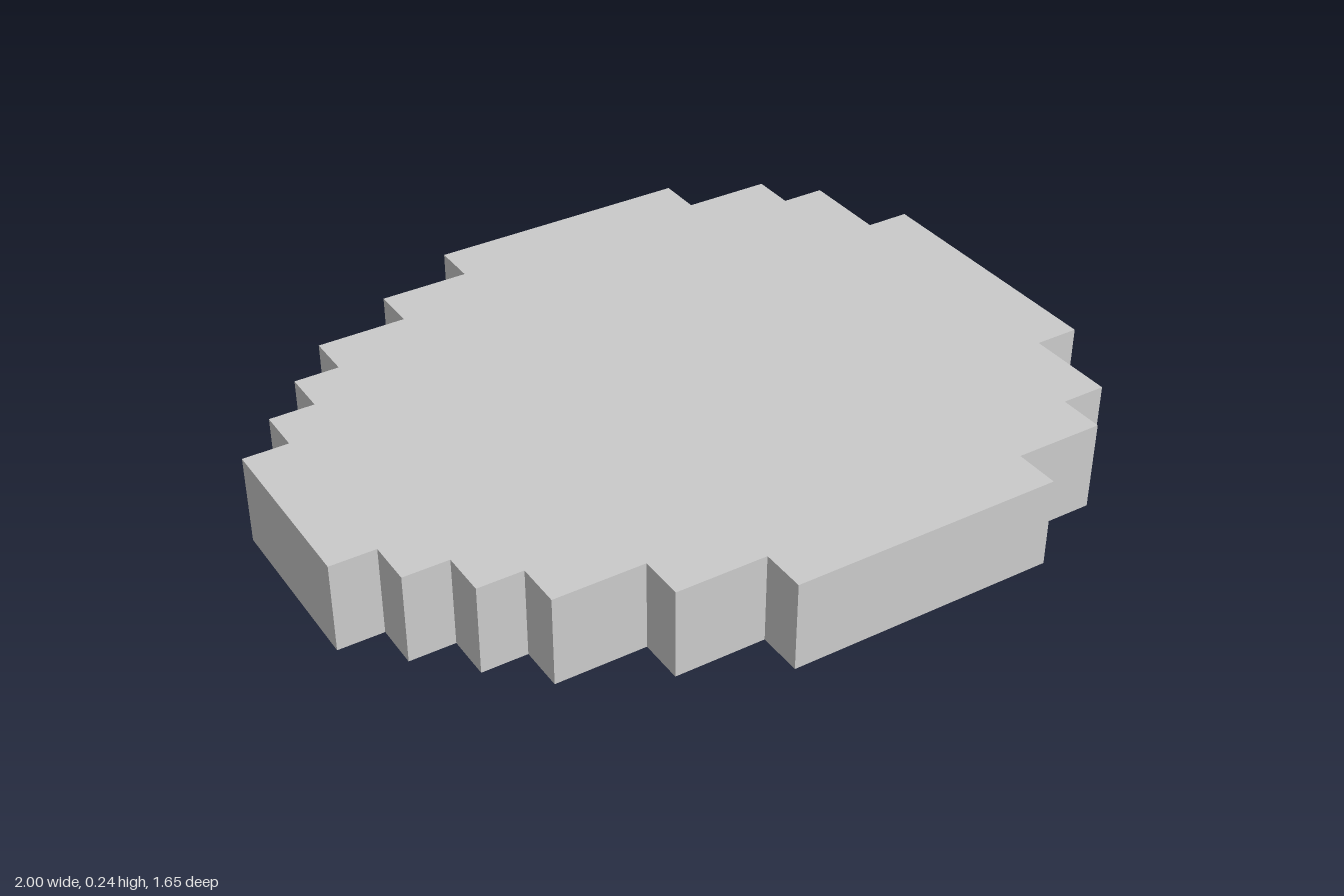
import * as THREE from 'three';

// One grid unit: the plate is 17 units long, 14 wide and 2 high.
const U = 2 / 17;
const material = new THREE.MeshStandardMaterial({ color: 0xcccccc, flatShading: true });

// Half profile (z > 0) as steps of [x end, z]; mirrored to a closed outline.
const START = -8.5;
const STEPS = [[-7.5, 2], [-6.5, 3], [-5.5, 4], [-3.5, 5], [-1.5, 6],
  [4.5, 7], [6.5, 6], [7.5, 5], [8.5, 3]];
const WIDEST = STEPS.findIndex(([, z]) => z === 7);

// Stepped outline, moved inwards by the given number of units.
function steppedOutline(inset = 0) {
  const half = [];
  let x = START + inset;
  STEPS.forEach(([end, z], i) => {
    const next = end + (i < WIDEST ? inset : -inset);
    half.push([x, z - inset], [next, z - inset]);
    x = next;
  });
  const mirrored = half.map(([px, pz]) => [px, -pz]).reverse();
  return toPoints([...half, ...mirrored]);
}

function toPoints(list) {
  return list.map(([x, z]) => new THREE.Vector2(x * U, z * U));
}

// Upright prism over an outline in the ground plane, from y0 to y1.
// A hole runs the opposite way round, so its walls face inwards.
function prism(name, outline, y0, y1, hole) {
  const shape = new THREE.Shape(outline);
  if (hole) shape.holes.push(new THREE.Path(hole.reverse()));
  const geometry = new THREE.ExtrudeGeometry(shape, { depth: (y1 - y0) * U, bevelEnabled: false });
  geometry.rotateX(Math.PI / 2);
  geometry.translate(0, y1 * U, 0);
  const mesh = new THREE.Mesh(geometry, material);
  mesh.name = name;
  return mesh;
}

function rib(name, x0, x1, z0, z1) {
  const mesh = new THREE.Mesh(new THREE.BoxGeometry((x1 - x0) * U, 0.5 * U, (z1 - z0) * U), material);
  mesh.position.set((x0 + x1) / 2 * U, 0.75 * U, (z0 + z1) / 2 * U);
  mesh.name = name;
  return mesh;
}

export function createModel() {
  const model = new THREE.Group();
  model.name = 'steppedPlate';

  // Solid top and the rim around the hollow underside
  model.add(prism('topPlate', steppedOutline(), 1, 2));
  model.add(prism('rim', steppedOutline(), 0, 1, steppedOutline(1)));

  // Elongated eight-sided hub below the top
  const hub = [[-1.5, 0.5], [0.5, 1.5], [2.5, 1.5], [3.5, 0.5],
    [3.5, -0.5], [2.5, -1.5], [0.5, -1.5], [-1.5, -0.5]];
  model.add(prism('hub', toPoints(hub), 0, 1));

  // Four shallow ribs from the hub to the rim
  model.add(rib('leftRib', 3.5, 7.5, -0.5, 0.5));
  model.add(rib('rightRib', -7.5, -1.5, -0.5, 0.5));
  model.add(rib('frontRib', 1, 2, 1.5, 6));
  model.add(rib('backRib', 1, 2, -6, -1.5));

  return model;
}
